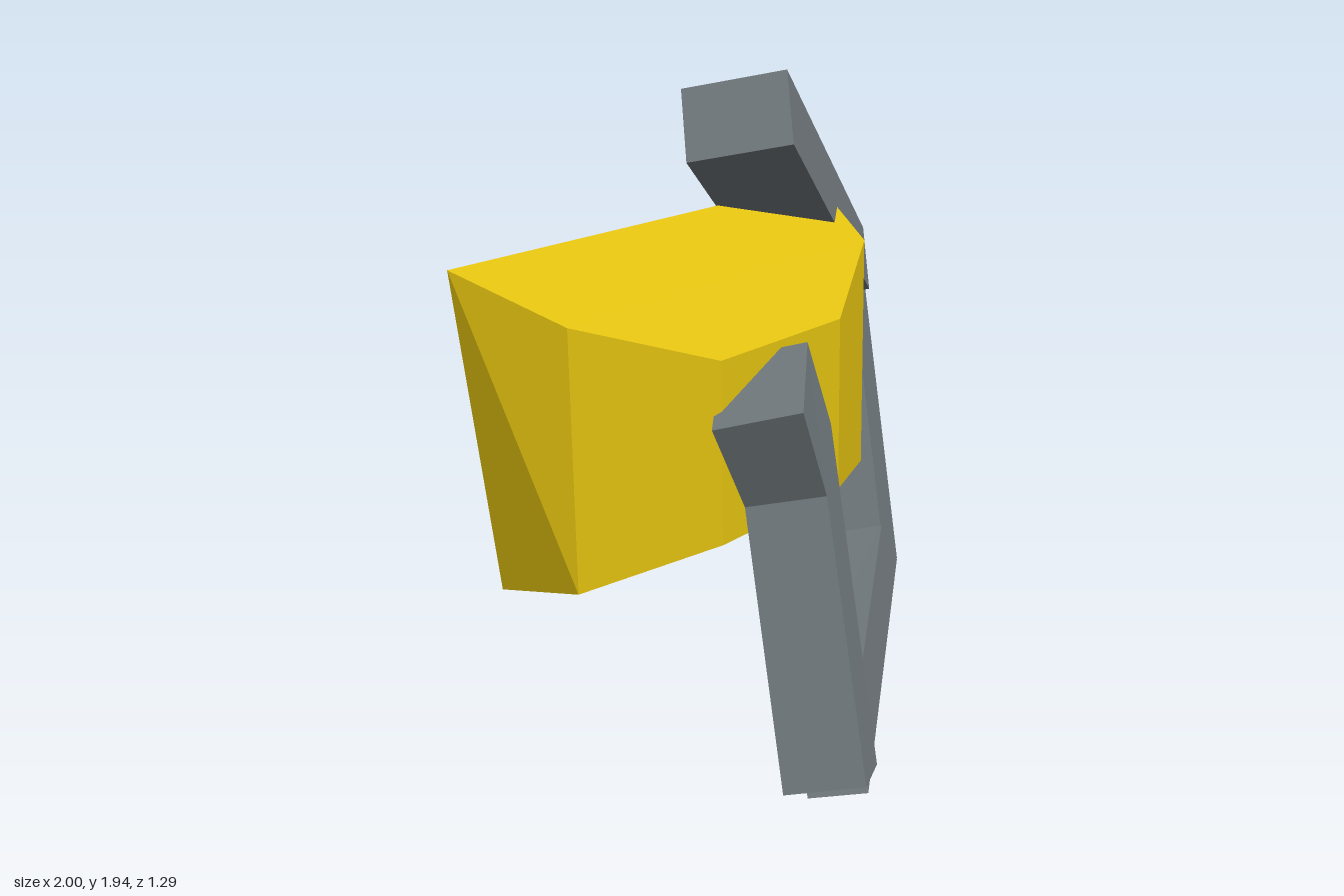
import * as THREE from 'three';

const mat = (color, extra = {}) =>
  new THREE.MeshStandardMaterial({ color, flatShading: true, roughness: 0.9, ...extra });
const grey = mat(0x70787c);
const yellow = mat(0xe0c010, { side: THREE.DoubleSide });
const black = mat(0x111111);
const glass = mat(0xcccccc);

// Skin four-cornered rings, counter-clockwise seen from the last ring.
function loft(rings, capStart, capEnd) {
  const pos = [];
  const quad = (a, b, c, d) => pos.push(...a, ...b, ...c, ...a, ...c, ...d);
  for (let k = 0; k < rings.length - 1; k++) {
    const a = rings[k], b = rings[k + 1];
    for (let i = 0; i < 4; i++) {
      const j = (i + 1) % 4;
      quad(a[i], a[j], b[j], b[i]);
    }
  }
  if (capStart) quad(...[...rings[0]].reverse());
  if (capEnd) quad(...rings[rings.length - 1]);
  const g = new THREE.BufferGeometry();
  g.setAttribute('position', new THREE.Float32BufferAttribute(pos, 3));
  g.computeVertexNormals();
  return g;
}

// Parallelogram section from one corner and its two neighbours.
const section = (o, u, v) => [o, u, u.map((c, i) => c + v[i] - o[i]), v];
const shifted = (ring, d) => ring.map(p => p.map((c, i) => c + d[i]));

// Upright section at depth z: half widths at bottom and top, about the housing's centre.
const CX = -0.23;
const frame = (z, wBottom, wTop, y0, y1) => [
  [CX - wBottom, y0, z], [CX + wBottom, y0, z], [CX + wTop, y1, z], [CX - wTop, y1, z],
];

export function createModel() {
  const model = new THREE.Group();
  const add = (name, geometry, material) => {
    const m = new THREE.Mesh(geometry, material);
    m.name = name;
    model.add(m);
    return m;
  };

  // Screen housing, open at the back
  const opening = frame(-0.28, 0.65, 0.77, 0.61, 1.52);
  add('screenHousing', loft([
    opening,
    frame(0, 0.64, 0.64, 0.67, 1.39),
    frame(0.18, 0.265, 0.265, 0.73, 1.25),
  ], false, true), yellow);

  // Bezel sloping in to the recessed screen
  add('bezel', loft([frame(-0.2, 0.6, 0.6, 0.655, 1.425), opening], false, false), black);
  const screen = add('screen', new THREE.PlaneGeometry(1.2, 0.77), glass);
  screen.rotation.y = Math.PI;
  screen.position.set(CX, 1.04, -0.2);

  // Bent front arm holding the housing
  add('frontArm', loft([
    section([-0.47, 0.145, 0.645], [-0.28, 0.09, 0.55], [-0.58, 0.1, 0.45]),
    section([-0.31, 0.865, 0.39], [-0.08, 0.975, 0.235], [-0.42, 0.82, 0.195]),
    section([-0.43, 1.135, 0.4], [-0.2, 1.245, 0.24], [-0.56, 1.08, 0.2]),
  ], true, true), grey);

  // Lower arm with mitred ends
  add('lowerArm', loft([
    section([-0.35, 0.04, 0.57], [-0.43, 0.005, 0.42], [-0.23, 0.285, 0.45]),
    section([0.65, 0.24, -0.01], [0.55, 0.205, -0.16], [0.485, 0.43, 0.035]),
  ], true, true), grey);

  // Rear upright arm
  const foot = section([0.45, 0.345, 0.07], [0.65, 0.245, -0.01], [0.35, 0.3, -0.13]);
  add('rearArm', loft([foot, shifted(foot, [0.345, 0.95, -0.41])], true, true), grey);

  // Upper arm
  const tip = section([0.02, 1.94, 0], [-0.06, 1.75, 0.085], [-0.12, 1.88, -0.27]);
  add('upperArm', loft([tip, shifted(tip, [0.93, -0.65, -0.38])], true, true), grey);

  return model;
}
